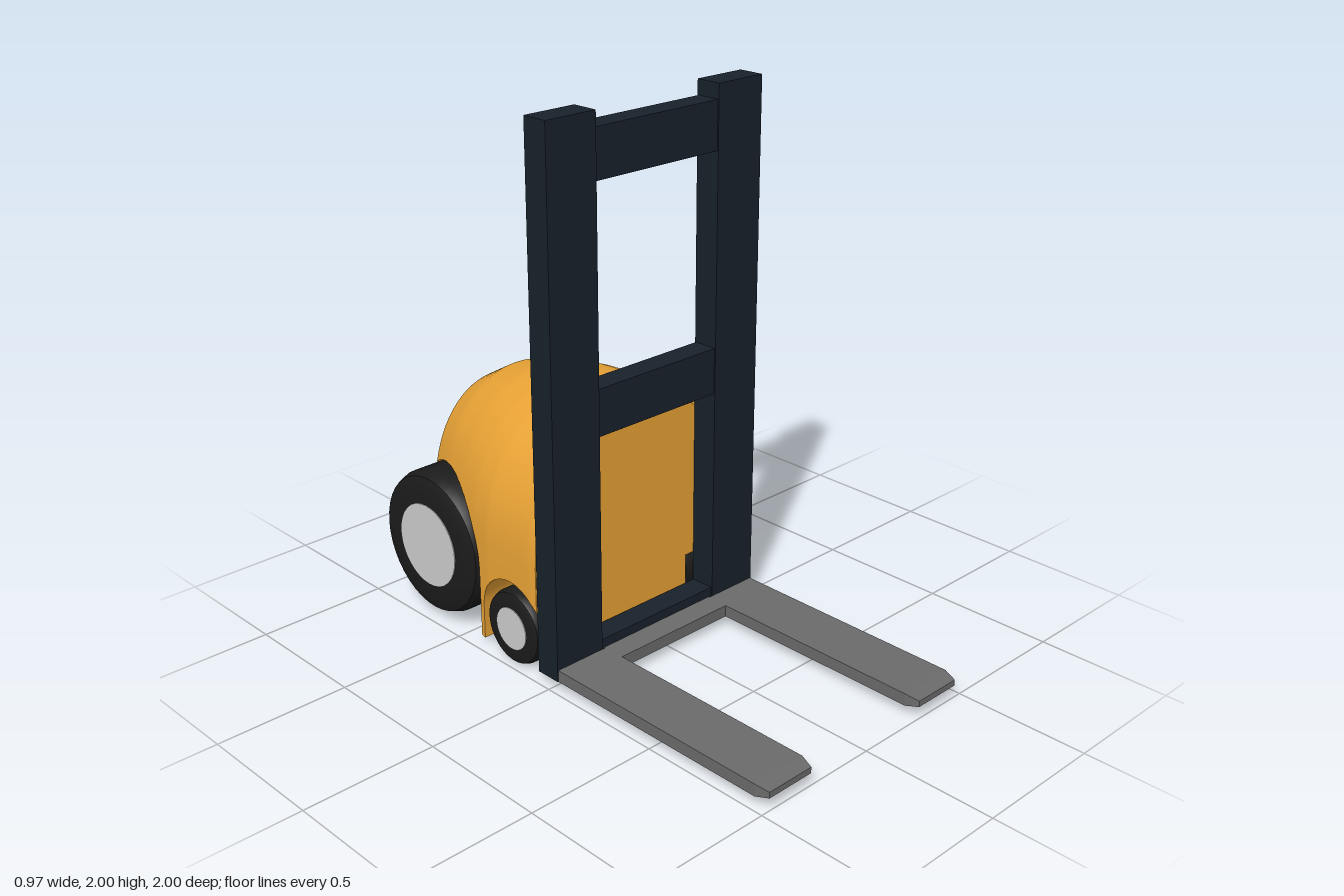
import * as THREE from 'three';
import { toCreasedNormals } from 'three/addons/utils/BufferGeometryUtils.js';

const mat = (color) => new THREE.MeshStandardMaterial({ color });
const bodyMat = mat(0xe8a235), mastMat = mat(0x18212a), tyreMat = mat(0x1b1b1b);
const forkMat = mat(0x6a6a6a), hubMat = mat(0xcccccc);

// Wheels: centre z and y, tyre radius, hub radius, radius and height of the wheel arch
const WHEELS = [
  { name: 'frontWheel', z: -0.22, y: 0.14, r: 0.14, hub: 0.08, arch: 0.165, archY: 0.16 },
  { name: 'rearWheel', z: -0.69, y: 0.295, r: 0.275, hub: 0.16, arch: 0.28, archY: 0.295 },
];

// Body stations: z, half width, top, bottom
const STATIONS = [
  [-0.07, 0.455, 0.905, 0.045], [-0.085, 0.475, 0.925, 0.033], [-0.11, 0.48, 0.932, 0.03],
  [-0.35, 0.475, 0.932, 0.03], [-0.45, 0.455, 0.93, 0.03], [-0.58, 0.415, 0.915, 0.03],
  [-0.73, 0.36, 0.875, 0.03], [-0.86, 0.305, 0.8, 0.03], [-0.94, 0.23, 0.66, 0.035],
  [-0.975, 0.17, 0.53, 0.05], [-0.99, 0.09, 0.43, 0.08], [-1, 0, 0.33, 0.12],
];
const CORE = 0.235; // half width between the wheel wells

function stationAt(z) {
  let i = 0;
  while (i < STATIONS.length - 2 && z < STATIONS[i + 1][0]) i++;
  const a = STATIONS[i], b = STATIONS[i + 1], t = (z - a[0]) / (b[0] - a[0]);
  return a.map((v, k) => THREE.MathUtils.lerp(v, b[k], t));
}

// Closed ring at one z: narrow floor, wheel-well wall, arch edge, rounded roof
function bodyRing(z) {
  const [, w, top, bottom] = stationAt(z);
  const core = Math.min(CORE, w);
  let low = bottom;
  for (const k of WHEELS) {
    const d = k.arch ** 2 - (z - k.z) ** 2;
    if (d >= 0 && w > CORE) low = k.archY + Math.sqrt(d);
  }
  const p = 2.15, base = Math.min(0.42, top * 0.5), h = top - base;
  const start = low > base ? Math.asin(Math.min(1, ((low - base) / h) ** (p / 2))) : 0;
  const dome = (t) => [
    w * Math.max(0, Math.cos(t)) ** (2 / p), base + h * Math.sin(t) ** (2 / p)];
  const half = [[0, bottom], [core, bottom], [core, low], [dome(start)[0], low]];
  const n = 14;
  for (let i = 0; i <= n; i++) half.push(dome(start + (Math.PI / 2 - start) * (i / n)));
  const mirrored = half.slice(1, -1).reverse().map(([x, y]) => [-x, y]);
  return [...half, ...mirrored].map(([x, y]) => [x, y, z]);
}

function bodyGeometry() {
  const zs = STATIONS.map((s) => s[0]);
  // Extra stations follow the arches, doubled where each arch drops to the floor
  for (const k of WHEELS) {
    for (let i = 0; i <= 16; i++) zs.push(k.z + k.arch * 0.9999 * Math.cos((Math.PI * i) / 16));
    zs.push(k.z + k.arch + 0.0005, k.z - k.arch - 0.0005);
  }
  const rings = zs.filter((z) => z <= -0.07 && z >= -1).sort((a, b) => b - a).map(bodyRing);
  const n = rings[0].length, pos = rings.flat(2), index = [];
  for (let i = 0; i < rings.length - 1; i++) {
    for (let j = 0; j < n; j++) {
      const a = i * n + j, b = i * n + ((j + 1) % n), c = a + n, d = b + n;
      index.push(a, c, b, b, c, d);
    }
  }
  // Flat front
  const centre = pos.length / 3;
  pos.push(0, 0.5, -0.07);
  for (let j = 0; j < n; j++) index.push(centre, j, (j + 1) % n);
  const g = new THREE.BufferGeometry();
  g.setAttribute('position', new THREE.Float32BufferAttribute(pos, 3));
  g.setIndex(index);
  return toCreasedNormals(g, 0.6);
}

function addMesh(parent, name, geometry, material, x = 0, y = 0, z = 0) {
  const m = new THREE.Mesh(geometry, material);
  m.name = name;
  m.position.set(x, y, z);
  parent.add(m);
  return m;
}

// Box given by its limits on each axis
function addBox(parent, name, material, x0, x1, y0, y1, z0, z1) {
  return addMesh(parent, name, new THREE.BoxGeometry(x1 - x0, y1 - y0, z1 - z0), material,
    (x0 + x1) / 2, (y0 + y1) / 2, (z0 + z1) / 2);
}

// Wheel with rounded shoulders, axle along x
function makeWheel({ name, r, hub }, side) {
  const g = new THREE.Group();
  g.name = (side > 0 ? 'left ' : 'right ') + name;
  const hw = 0.114, c = r * 0.13;
  const profile = [[hub * 0.9, -hw], [r - c * 1.4, -hw], [r - c * 0.4, -hw + c * 0.4], [r, -hw + c * 1.4],
    [r, hw - c * 1.4], [r - c * 0.4, hw - c * 0.4], [r - c * 1.4, hw], [hub * 0.9, hw]];
  const tyre = new THREE.LatheGeometry(profile.map(([x, y]) => new THREE.Vector2(x, y)), 40);
  addMesh(g, 'tyre', toCreasedNormals(tyre, 0.75), tyreMat).rotation.z = -Math.PI / 2;
  const cap = new THREE.CylinderGeometry(hub, hub, 2 * hw + 0.006, 32);
  addMesh(g, 'hub', cap, hubMat).rotation.z = -Math.PI / 2;
  return g;
}

// Fork blade with a chamfered tip
function forkGeometry() {
  const len = 0.97;
  const box = new THREE.BoxGeometry(0.22, 0.045, len, 1, 1, 2);
  const p = box.attributes.position;
  for (let i = 0; i < p.count; i++) {
    if (Math.abs(p.getZ(i)) < 0.01) p.setZ(i, len / 2 - 0.05);
    else if (p.getZ(i) > 0) p.setXY(i, p.getX(i) * 0.88, p.getY(i) * 0.5);
  }
  const g = box.toNonIndexed();
  g.computeVertexNormals();
  return g;
}

export function createModel() {
  const model = new THREE.Group();
  model.name = 'forklift';
  addMesh(model, 'body', bodyGeometry(), bodyMat);

  const mast = new THREE.Group();
  mast.name = 'mast';
  model.add(mast);
  const forks = new THREE.Group();
  forks.name = 'forks';
  model.add(forks);

  for (const side of [1, -1]) {
    for (const k of WHEELS) {
      const wheel = makeWheel(k, side);
      wheel.position.set(side * 0.364, k.y, k.z);
      model.add(wheel);
    }
    const post = addBox(mast, 'post', mastMat, 0.275, 0.483, 0.035, 2, -0.07, 0.03);
    post.position.x *= side;
    addMesh(forks, 'forkBlade', forkGeometry(), forkMat, side * 0.37, 0.0575, 0.515);
  }

  // Cross rails between the posts
  for (const [y0, y1] of [[0.04, 0.115], [0.89, 1.062], [1.77, 1.945]]) {
    addBox(mast, 'crossRail', mastMat, -0.276, 0.276, y0, y1, -0.065, 0.025);
  }
  // Bar joining the two blades
  addBox(forks, 'forkCrossbar', forkMat, -0.262, 0.262, 0.035, 0.08, 0.025, 0.115);
  return model;
}
